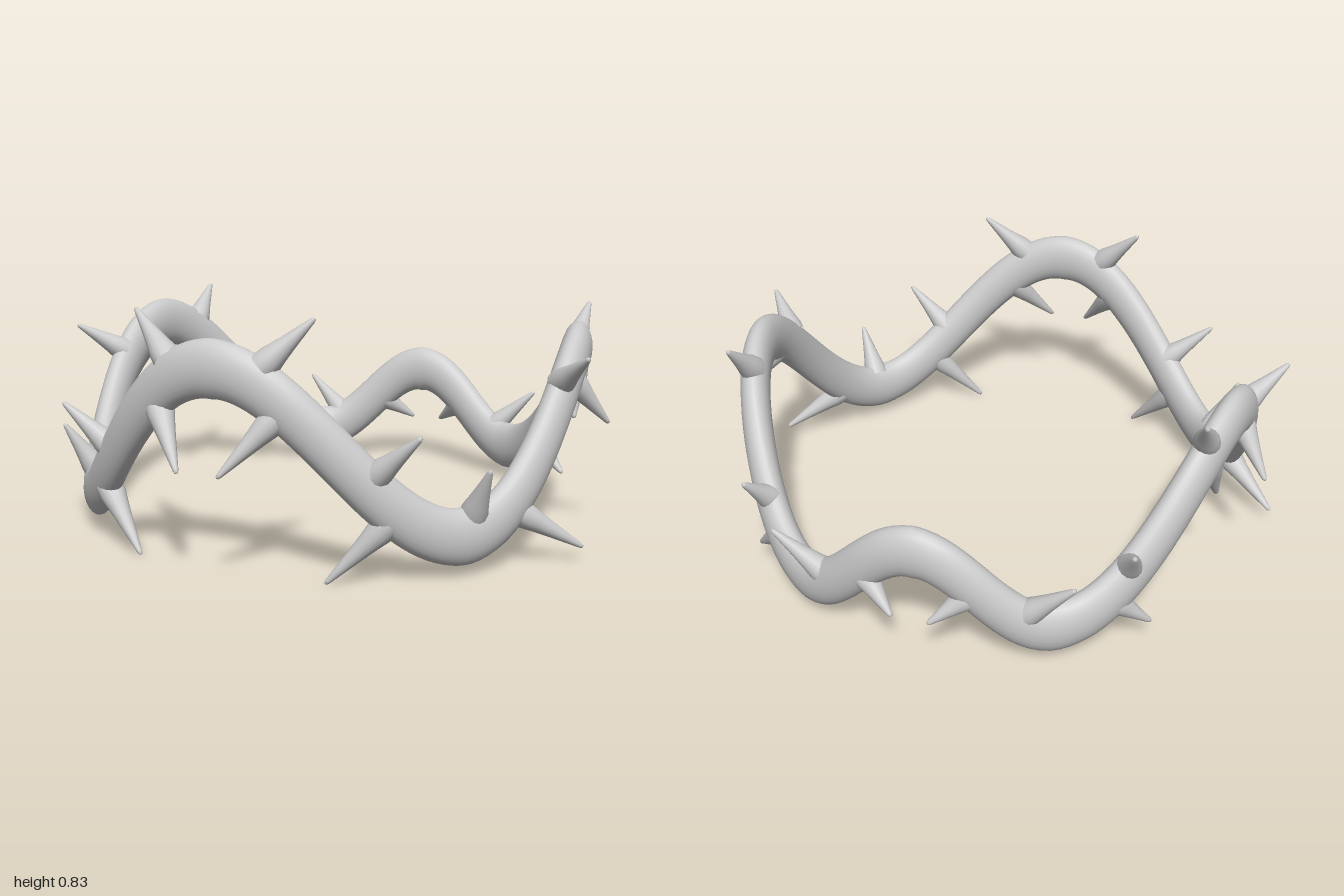
import * as THREE from 'three';

const material = new THREE.MeshStandardMaterial({ color: 0xcccccc, roughness: 0.7 });
const rad = THREE.MathUtils.degToRad;

// Crests and dips of the wavy band: [angle from the front in degrees, height]
const WAVE = [[0, 0.665], [53, 0.13], [101, 0.645], [151, 0.13], [180, 0.405]];

// Height of the band and how steep it is (0 at crests and dips, 1 midway)
function wave(deg) {
  const a = Math.abs(deg > 180 ? deg - 360 : deg);
  let i = 0;
  while (i < WAVE.length - 2 && a > WAVE[i + 1][0]) i++;
  const [a0, y0] = WAVE[i], [a1, y1] = WAVE[i + 1];
  const t = (a - a0) / (a1 - a0);
  return { y: y0 + (y1 - y0) * (1 - Math.cos(Math.PI * t)) / 2, steep: Math.sin(Math.PI * t) };
}

function ringPoint(deg, y = wave((deg + 360) % 360).y) {
  return new THREE.Vector3(0.875 * Math.sin(rad(deg)), y, -0.02 + 0.88 * Math.cos(rad(deg)));
}

// Closed band with an oval section, flat side facing outwards
function bandGeometry(steps = 240, sides = 24) {
  const positions = [], index = [];
  const up = new THREE.Vector3(0, 1, 0);
  for (let i = 0; i < steps; i++) {
    const deg = (i / steps) * 360;
    const centre = ringPoint(deg);
    const tangent = ringPoint(deg + 0.5).sub(ringPoint(deg - 0.5)).normalize();
    const out = new THREE.Vector3().crossVectors(up, tangent).normalize();
    if (out.dot(new THREE.Vector3(centre.x, 0, centre.z)) < 0) out.negate();
    const side = new THREE.Vector3().crossVectors(out, tangent).normalize();
    if (side.y < 0) side.negate();
    const half = 0.095 - 0.018 * wave(deg).steep;
    for (let j = 0; j < sides; j++) {
      const u = (j / sides) * Math.PI * 2;
      const p = centre.clone().addScaledVector(out, 0.052 * Math.cos(u)).addScaledVector(side, half * Math.sin(u));
      positions.push(p.x, p.y, p.z);
      const i2 = (i + 1) % steps, j2 = (j + 1) % sides;
      const a = i * sides + j, b = i2 * sides + j, c = i2 * sides + j2, d = i * sides + j2;
      index.push(a, b, c, a, c, d);
    }
  }
  const g = new THREE.BufferGeometry();
  g.setAttribute('position', new THREE.Float32BufferAttribute(positions, 3));
  g.setIndex(index);
  g.computeVertexNormals();
  return g;
}

// Thorns of the left half: [root angle, root height, tip x, tip y, tip z]
const THORNS = [
  [11, 0.68, 0.32, 0.83, 0.79],
  [14, 0.53, 0.07, 0.35, 0.96],
  [36.5, 0.2, 0.34, 0, 0.77],
  [33, 0.34, 0.65, 0.49, 0.755],
  [55, 0.19, 0.8, 0.365, 0.56],
  [67, 0.18, 1, 0.045, 0.19],
  [84, 0.56, 1, 0.67, 0.2],
  [92, 0.56, 0.99, 0.395, -0.15],
  [111, 0.55, 0.84, 0.38, -0.25],
  [113, 0.64, 0.82, 0.775, -0.5],
  [134, 0.3, 0.67, 0.425, -0.75],
  [138, 0.19, 0.71, 0.08, -0.61],
  [157, 0.19, 0.515, 0.35, -0.86],
  [168, 0.27, 0.06, 0.18, -0.96],
];

// Tapered thorn with a flared root and a blunt tip, standing on +y
function thornGeometry(length) {
  const profile = [[0.046, 0], [0.044, 0.15], [0.036, 0.3], [0.027, 0.5], [0.017, 0.75], [0.009, 0.95], [0.006, 0.985], [0, 1]];
  return new THREE.LatheGeometry(profile.map(([r, h]) => new THREE.Vector2(r, h * length)), 14);
}

export function createModel() {
  const model = new THREE.Group();
  model.name = 'thornCrown';

  const band = new THREE.Mesh(bandGeometry(), material);
  band.name = 'wavyBand';
  model.add(band);

  // Thorns, mirrored left to right
  for (const mirror of [1, -1]) {
    const thorns = new THREE.Group();
    thorns.name = mirror > 0 ? 'leftThorns' : 'rightThorns';
    for (const [deg, y, tx, ty, tz] of THORNS) {
      const root = ringPoint(deg, y);
      root.x *= mirror;
      const axis = new THREE.Vector3(tx * mirror, ty, tz).sub(root);
      const thorn = new THREE.Mesh(thornGeometry(axis.length()), material);
      thorn.name = 'thorn';
      thorn.position.copy(root);
      thorn.quaternion.setFromUnitVectors(new THREE.Vector3(0, 1, 0), axis.normalize());
      thorns.add(thorn);
    }
    model.add(thorns);
  }
  return model;
}
